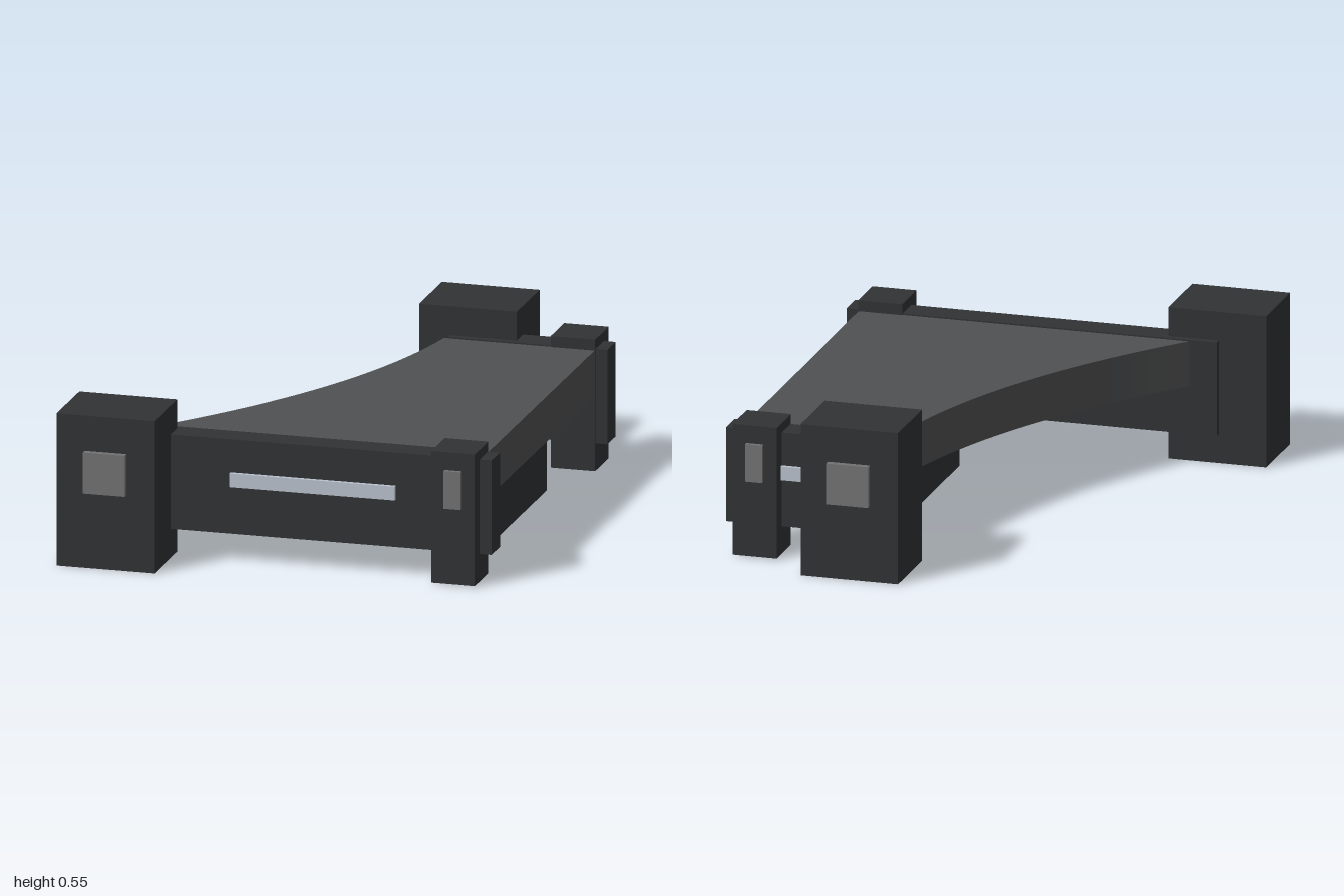
import * as THREE from 'three';

const material = (color) => new THREE.MeshStandardMaterial({ color, flatShading: true });

export function createModel() {
  const model = new THREE.Group();
  const dark = material(0x303234);
  const deckGrey = material(0x505152);
  const portGrey = material(0x727272);
  const lightBlue = material(0xb9c1cd);

  // Box given by its limits on each axis
  const box = (parent, name, mat, [x0, x1], [y0, y1], [z0, z1]) => {
    const mesh = new THREE.Mesh(new THREE.BoxGeometry(x1 - x0, y1 - y0, z1 - z0), mat);
    mesh.position.set((x0 + x1) / 2, (y0 + y1) / 2, (z0 + z1) / 2);
    mesh.name = name;
    parent.add(mesh);
  };

  // Deck slab with one concave side; the shape's y is -z
  const outline = new THREE.Shape();
  outline.moveTo(0.715, -0.67);
  outline.lineTo(0.715, 0.67);
  outline.lineTo(0.165, 0.67);
  outline.quadraticCurveTo(0.06, -0.02, -0.49, -0.67);
  outline.closePath();
  const deckGeometry = new THREE.ExtrudeGeometry(outline, { depth: 0.165, bevelEnabled: false, curveSegments: 20 });
  deckGeometry.rotateX(-Math.PI / 2);
  const deck = new THREE.Mesh(deckGeometry, deckGrey);
  deck.position.y = 0.28;
  deck.name = 'deck';
  model.add(deck);

  // Box slung under the deck
  box(model, 'underBox', dark, [0.24, 0.645], [0.03, 0.265], [-0.31, 0.31]);

  // End assemblies: a wide one in front, a narrow one at the back
  const ends = [
    { name: 'frontEnd', side: 1, podX: -0.763, plateX: -0.59, lightX: [-0.19, 0.41] },
    { name: 'backEnd', side: -1, podX: 0.068, plateX: 0.18, lightX: [0.36, 0.62] },
  ];
  for (const { name, side, podX, plateX, lightX } of ends) {
    const end = new THREE.Group();
    end.name = name;
    const depth = (inner, outer) => (side > 0 ? [inner, outer] : [-outer, -inner]);
    box(end, 'endPlate', dark, [plateX, 0.76], [0.107, 0.45], depth(0.668, 0.772));
    box(end, 'lightStrip', lightBlue, lightX, [0.28, 0.33], depth(0.76, 0.787));
    box(end, 'largePod', dark, [podX, podX + 0.357], [0.002, 0.555], depth(0.692, 0.977));
    box(end, 'largePort', portGrey, [podX + 0.102, podX + 0.254], [0.278, 0.427], depth(0.96, 1));
    box(end, 'smallPod', dark, [0.556, 0.717], [0.007, 0.485], depth(0.664, 0.833));
    box(end, 'smallPort', portGrey, [0.605, 0.667], [0.283, 0.42], depth(0.82, 0.848));
    model.add(end);
  }

  return model;
}
